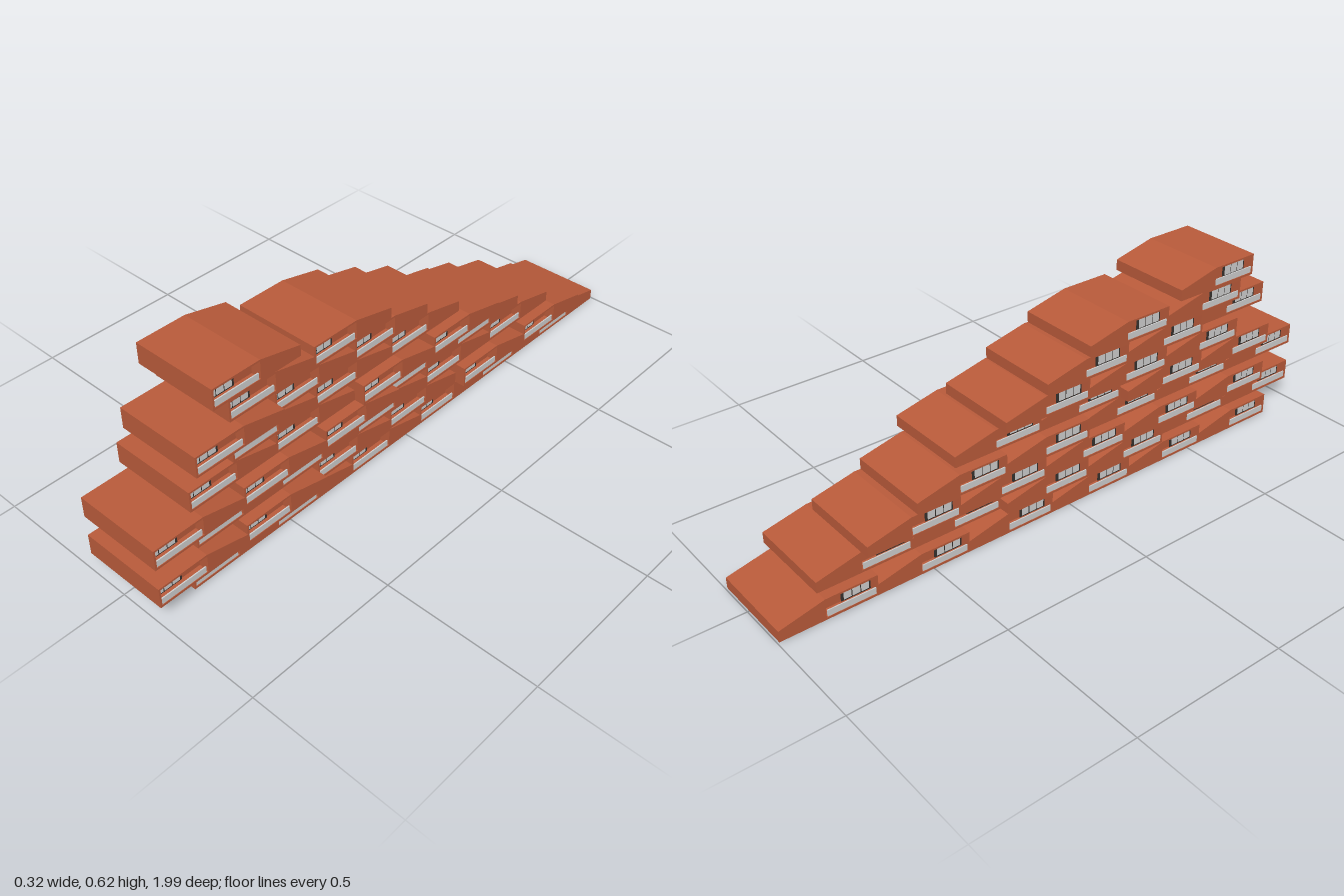
import * as THREE from 'three';

const H = 0.0686;    // storey height
const L = 0.309;     // dwelling length
const W = 0.29;      // dwelling width
const FLAT = 0.165;  // flat part of the roof
const INSET = 0.035; // depth of the side loggias

const mat = (name, color) => {
  const m = new THREE.MeshStandardMaterial({ color });
  m.name = name;
  return m;
};

export function createModel() {
  const brick = mat('terracotta', 0xb85a3a);
  const grey = mat('pale grey', 0xcccccc);
  const dark = mat('dark frame', 0x35302d);

  // box between two corners
  const box = (parent, name, material, x0, x1, y0, y1, z0, z1) => {
    const m = new THREE.Mesh(new THREE.BoxGeometry(x1 - x0, y1 - y0, z1 - z0), material);
    m.position.set((x0 + x1) / 2, (y0 + y1) / 2, (z0 + z1) / 2);
    m.name = name;
    parent.add(m);
  };

  // rear block with sloping roof, profile in (z, y)
  const profile = new THREE.Shape();
  profile.moveTo(-L, 0);
  profile.lineTo(-FLAT, 0);
  profile.lineTo(-FLAT, H);
  profile.lineTo(-L, H * 0.52);
  profile.closePath();
  const rearGeo = new THREE.ExtrudeGeometry(profile, { depth: W, bevelEnabled: false });
  rearGeo.translate(0, 0, -W / 2).rotateY(-Math.PI / 2);

  const makeDwelling = () => {
    const g = new THREE.Group();
    const h = W / 2, core = h - INSET;
    const rear = new THREE.Mesh(rearGeo, brick);
    rear.name = 'slopedRear';
    g.add(rear);
    box(g, 'floorSlab', brick, -h, h, 0, 0.007, -FLAT, 0);
    box(g, 'roofSlab', brick, -h, h, H - 0.006, H, -FLAT, 0);
    box(g, 'frontWall', brick, -h, h, 0.007, H - 0.006, -0.006, 0);
    box(g, 'core', brick, -core, core, 0.007, H - 0.006, -FLAT, -0.006);
    for (const s of [-1, 1]) {
      // plate on one side, with its inner face at distance d
      const plate = (name, m, d, t, y0, y1, z0, z1) =>
        box(g, name, m, Math.min(s * d, s * (d + t)), Math.max(s * d, s * (d + t)), y0, y1, z0, z1);
      plate('windowFrame', dark, core, 0.003, 0.007, H - 0.006, -0.1, -0.006);
      for (let i = 0; i < 3; i++) {
        const z = -0.012 - i * 0.028;
        plate('windowPane', grey, core + 0.003, 0.002, 0.012, 0.055, z - 0.024, z);
      }
      plate('balconyRail', grey, h - 0.006, 0.004, 0.007, 0.027, -0.16, -0.006);
    }
    return g;
  };

  // storeys from the ground up: front z and the sideways shift of each dwelling
  const storeys = [
    [0.86, '------'], [1.0, '++--++'], [0.835, '-----'],
    [1.0, '+++--'], [0.845, '--++'], [0.69, '---'],
    [0.84, '+--'], [0.69, '--'], [0.74, '-'],
  ];
  const model = new THREE.Group();
  model.name = 'terracedHousing';
  storeys.forEach(([front, shifts], level) => {
    const storey = new THREE.Group();
    storey.name = `storey${level + 1}`;
    [...shifts].forEach((s, i) => {
      const d = makeDwelling();
      d.name = 'dwelling';
      d.position.set(s === '+' ? 0.017 : -0.018, level * H, front - i * L);
      storey.add(d);
    });
    model.add(storey);
  });

  // entrance door on the ground storey
  const door = new THREE.Group();
  door.name = 'entranceDoor';
  door.position.set(-0.016, 0, 0.86);
  box(door, 'doorPanel', grey, -0.049, 0.049, 0.002, 0.068, 0, 0.005);
  for (const s of [-1, 1]) {
    box(door, 'doorHandle', dark, s * 0.003 - 0.001, s * 0.003 + 0.001, 0.014, 0.048, 0.005, 0.007);
    for (const y of [0.002, 0.063])
      box(door, 'cornerBracket', dark, s * 0.047 - 0.003, s * 0.047 + 0.003, y, y + 0.005, 0, 0.006);
  }
  model.add(door);
  return model;
}
